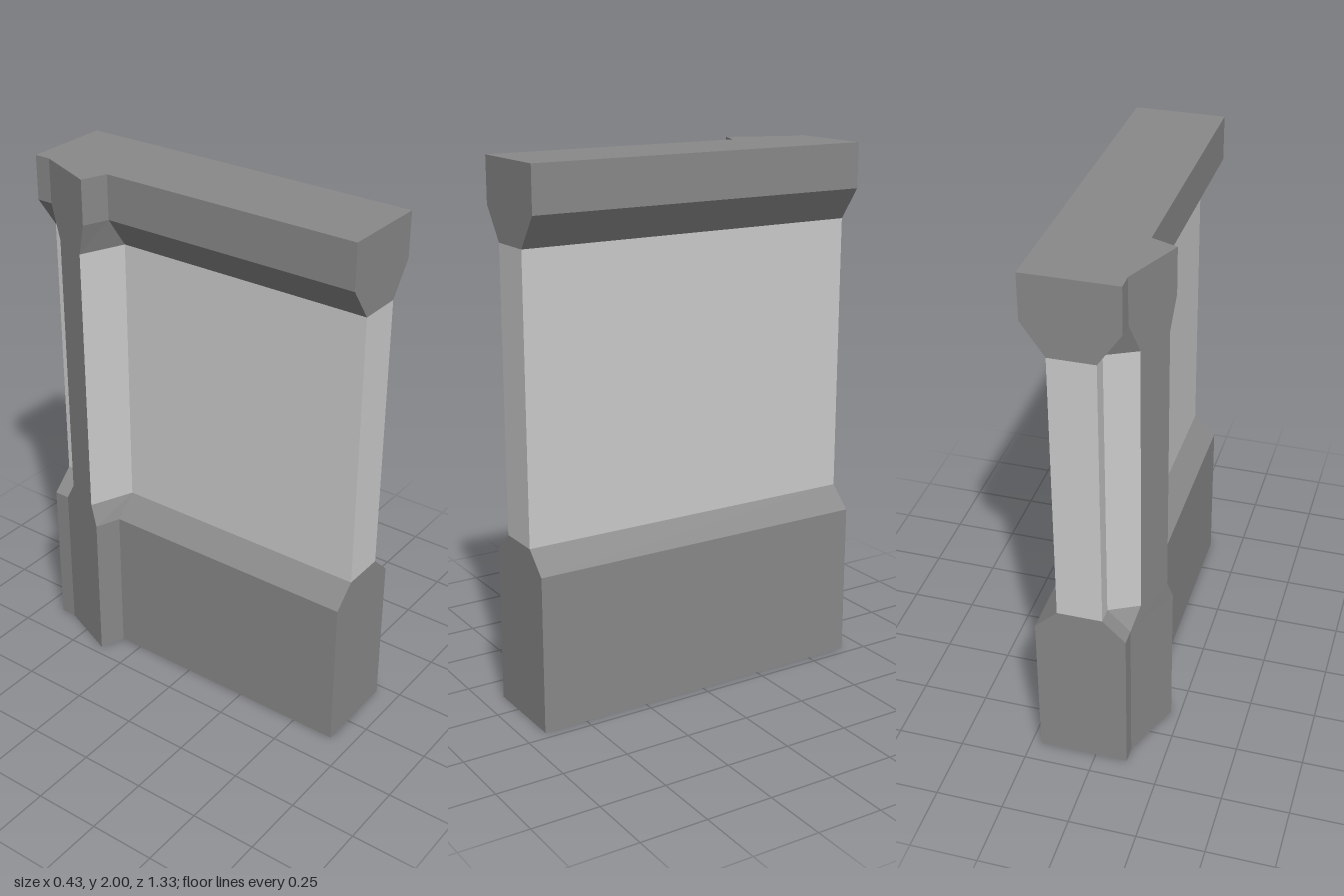
import * as THREE from 'three';

const darkStone = new THREE.MeshStandardMaterial({ color: 0x898989, flatShading: true });
const lightStone = new THREE.MeshStandardMaterial({ color: 0xcccccc, flatShading: true });

// Heights of plinth, slim panel and coping
const PLINTH = 0.587, PANEL_LOW = 0.667, PANEL_HIGH = 1.713, COPING = 1.833, TOP = 2;
const WIDE = 0.167, SLIM = 0.083, MID = 0.047;

// Wall course: symmetric profile of [half width, y] points, run along z
function createCourse(name, right, material) {
  const left = right.map(([x, y]) => [-x, y]).reverse();
  const shape = new THREE.Shape([...right, ...left].map(([x, y]) => new THREE.Vector2(MID + x, y)));
  const geometry = new THREE.ExtrudeGeometry(shape, { depth: 1.334, bevelEnabled: false });
  geometry.translate(0, 0, -0.667);
  const course = new THREE.Mesh(geometry, material);
  course.name = name;
  return course;
}

// Buttress: angled pier on the -x face, lofted between wide and slim plans
function createButtress() {
  const wide = [[-0.12, -0.605], [-0.12, -0.605], [-0.214, -0.376], [-0.12, -0.339]];
  const slim = [[-0.036, -0.605], [-0.143, -0.55], [-0.201, -0.409], [-0.036, -0.339]];
  const levels = [[0, wide], [PLINTH, wide], [PANEL_LOW, slim], [PANEL_HIGH, slim], [COPING, wide], [TOP, wide]];
  const rings = levels.map(([y, plan]) => plan.map(([x, z]) => new THREE.Vector3(x, y, z)));

  const dark = [], light = [];
  const addTriangle = (list, a, b, c) => {
    if (new THREE.Triangle(a, b, c).getArea() > 1e-6) list.push(a, b, c);
  };
  for (let i = 0; i < rings.length - 1; i++) {
    const low = rings[i], high = rings[i + 1];
    for (let j = 0; j < 3; j++) {
      // Only the slim flanks are light; the outer face is dark at full height
      const list = i === 2 && j !== 1 ? light : dark;
      addTriangle(list, low[j], low[j + 1], high[j + 1]);
      addTriangle(list, low[j], high[j + 1], high[j]);
    }
  }
  // Caps
  const base = rings[0], top = rings[rings.length - 1];
  addTriangle(dark, top[0], top[2], top[3]);
  addTriangle(dark, base[0], base[3], base[2]);

  const buttress = new THREE.Group();
  buttress.name = 'buttress';
  for (const [name, points, material] of [['buttressBody', dark, darkStone], ['buttressFlanks', light, lightStone]]) {
    const geometry = new THREE.BufferGeometry().setFromPoints(points);
    geometry.computeVertexNormals();
    const mesh = new THREE.Mesh(geometry, material);
    mesh.name = name;
    buttress.add(mesh);
  }
  return buttress;
}

export function createModel() {
  const model = new THREE.Group();
  model.name = 'wallSegment';
  model.add(
    createCourse('plinth', [[WIDE, 0], [WIDE, PLINTH], [SLIM, PANEL_LOW]], darkStone),
    createCourse('panel', [[SLIM, PANEL_LOW], [SLIM, PANEL_HIGH]], lightStone),
    createCourse('coping', [[SLIM, PANEL_HIGH], [WIDE, COPING], [WIDE, TOP]], darkStone),
    createButtress()
  );
  return model;
}
